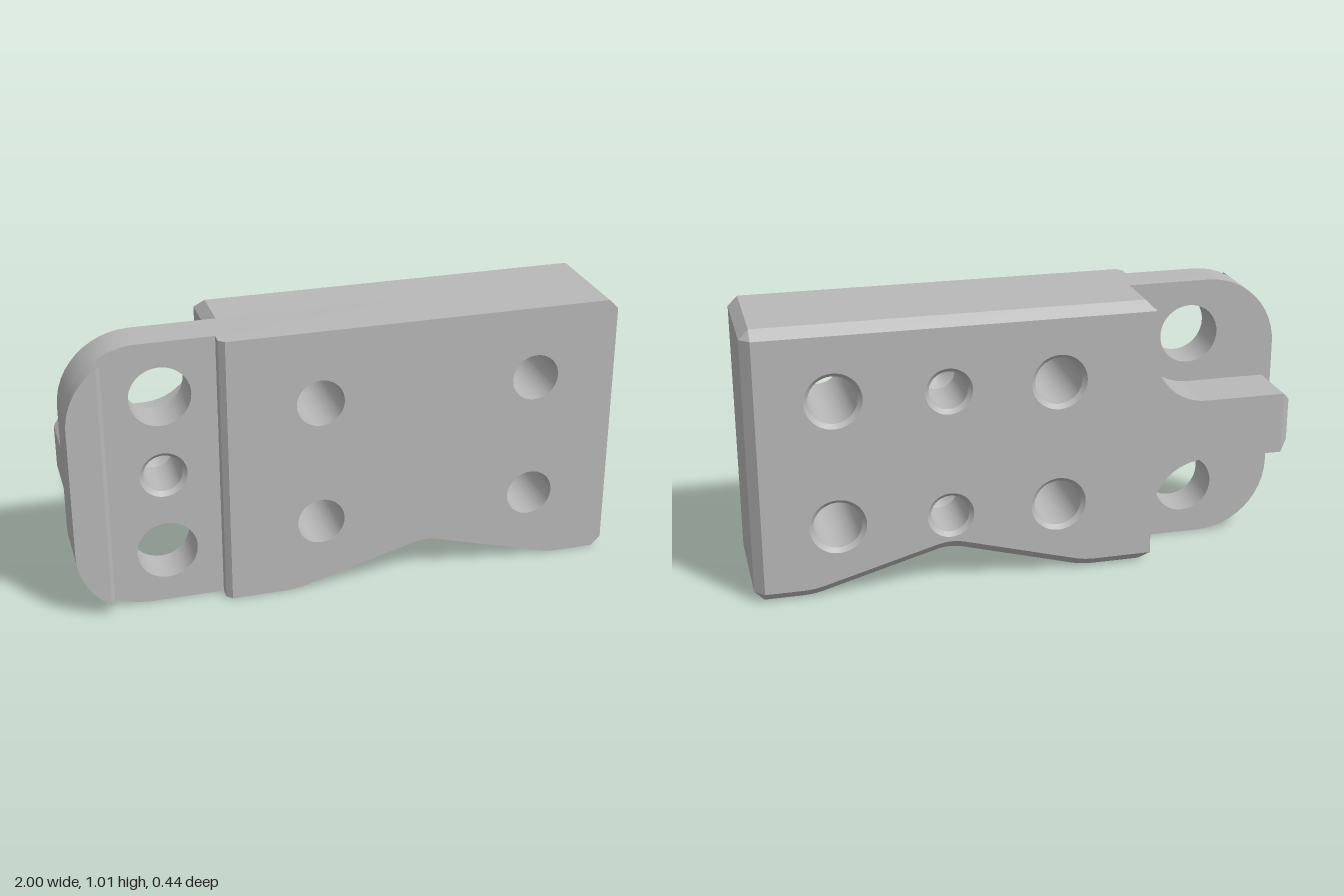
import * as THREE from 'three';
import { mergeGeometries, toCreasedNormals } from 'three/addons/utils/BufferGeometryUtils.js';

const H = 1.01, MID = H / 2, FRONT = 0.218, BACK = -0.218, BEVEL = 0.035;
const FLOOR = 0.155, STEP = -0.465, RIB = 0.115, FILLET = 0.2, CORNER = 0.265;
const V = (x, y) => new THREE.Vector2(x, y);

function arc(cx, cy, r, a0, a1, n = 12) {
  return Array.from({ length: n + 1 }, (_, i) => {
    const a = a0 + (a1 - a0) * i / n;
    return V(cx + r * Math.cos(a), cy + r * Math.sin(a));
  });
}
const circle = (x, y, r) => arc(x, y, r, 0, Math.PI * 2, 40).slice(0, -1);

// Walls through a stack of [contour, z]; rising z faces outward, falling z inward
function walls(...rings) {
  const pos = [];
  for (let k = 0; k + 1 < rings.length; k++) {
    const [a, za] = rings[k], [b, zb] = rings[k + 1];
    for (let i = 0; i < a.length; i++) {
      const j = (i + 1) % a.length;
      const A = [a[i].x, a[i].y, za], B = [a[j].x, a[j].y, za];
      const C = [b[j].x, b[j].y, zb], D = [b[i].x, b[i].y, zb];
      pos.push(...A, ...B, ...C, ...A, ...C, ...D);
    }
  }
  const g = new THREE.BufferGeometry();
  g.setAttribute('position', new THREE.Float32BufferAttribute(pos, 3));
  return g;
}

// Flat face with holes [x, y, r], facing +z or -z
function face(contour, z, holes = [], backward = false) {
  const shape = new THREE.Shape(contour);
  for (const h of holes) shape.holes.push(new THREE.Path(circle(...h)));
  const g = new THREE.ShapeGeometry(shape);
  if (backward) g.index.array.reverse();
  g.translate(0, 0, z);
  const flat = g.toNonIndexed();
  flat.deleteAttribute('uv');
  flat.deleteAttribute('normal');
  return flat;
}

// Hole lining from [radius, z] pairs, listed front to back
const bore = (x, y, profile) => walls(...profile.map(([r, z]) => [circle(x, y, r), z]));

export function createModel() {
  const group = new THREE.Group();
  const steel = new THREE.MeshStandardMaterial({ color: 0xb8b8b8 });
  steel.name = 'grey steel';
  const add = (name, ...parts) => {
    const mesh = new THREE.Mesh(toCreasedNormals(mergeGeometries(parts), 0.35), steel);
    mesh.name = name;
    group.add(mesh);
  };

  // Shallow roof-shaped relief in the lower edge
  const path = new THREE.Path();
  path.moveTo(-0.25, 0);
  path.quadraticCurveTo(-0.21, 0, -0.17, 0.011);
  path.lineTo(0.24, 0.125);
  path.quadraticCurveTo(0.29, 0.139, 0.34, 0.125);
  path.lineTo(0.75, 0.011);
  path.quadraticCurveTo(0.79, 0, 0.83, 0);
  const relief = path.getPoints(8);
  const rightEnd = [V(1 - BEVEL, 0), V(1, BEVEL), V(1, H - BEVEL), V(1 - BEVEL, H)];

  // Rounded left end, cut at x = c
  const leftCap = (c) => {
    const cx = CORNER - 1, a = Math.acos((c - cx) / CORNER);
    return [...arc(cx, H - CORNER, CORNER, a, Math.PI),
      ...arc(cx, CORNER, CORNER, Math.PI, Math.PI * 2 - a)];
  };
  const cap = leftCap(CORNER - 1);
  const blockFrom = (c) => [V(c, 0), ...relief, ...rightEnd, V(c, H)];

  // Hole positions
  const rows = [0.27, 0.74], columns = [-0.11, 0.695];
  const through = columns.flatMap((x) => rows.map((y) => [x, y]));
  const blind = rows.map((y) => [0.29, y]);
  const mounting = [[-0.665, 0.203, 0.11], [-0.665, H - 0.203, 0.11]];
  const drill = [-0.665, MID];

  // Mounting plate with groove floor
  const plate = [...cap, ...relief, ...rightEnd];
  const plateBack = [...cap, V(STEP + BEVEL, 0), V(STEP + BEVEL, H)];
  add('mountingPlate',
    walls([plate, 0], [plate, FLOOR]),
    face([...cap, V(STEP, 0), V(STEP, H)], FLOOR, [...mounting, [...drill, 0.085]]),
    face(plateBack, 0, [...mounting, [...drill, 0.07]], true));

  // Lip left of the groove
  const lip = leftCap(-0.87), lipTop = leftCap(-0.885);
  add('grooveLip',
    walls([lip, FLOOR], [lip, FRONT - 0.015], [lipTop, FRONT]),
    face(lipTop, FRONT));

  // Front half of the block
  const block = blockFrom(STEP), blockTop = blockFrom(STEP + 0.02);
  add('blockFront',
    walls([block, FLOOR], [block, FRONT - 0.02], [blockTop, FRONT]),
    face(blockTop, FRONT, through.map(([x, y]) => [x, y, 0.087])));

  // Back half: block with a filleted rib, bevelled around the rear face
  const ribTop = MID + RIB, ribLow = MID - RIB, fx = STEP - FILLET, tip = BEVEL - 1;
  const upper = arc(fx, ribTop + FILLET, FILLET, 0, -Math.PI / 2);
  const lower = arc(fx, ribLow - FILLET, FILLET, Math.PI / 2, 0);
  const rear = [V(STEP + BEVEL, 0), ...relief, ...rightEnd, V(STEP + BEVEL, H), V(STEP, H - BEVEL),
    ...upper, V(tip, ribTop), V(-1, ribTop - BEVEL), V(-1, ribLow + BEVEL), V(tip, ribLow),
    ...lower, V(STEP, BEVEL)];
  const hi = H - BEVEL, rx = 1 - BEVEL;
  const rearInset = [V(STEP, BEVEL), ...relief.map((p) => V(p.x, p.y + BEVEL)),
    V(rx, BEVEL), V(rx, BEVEL), V(rx, hi), V(rx, hi), V(STEP, hi), V(STEP, hi),
    ...upper, V(tip, ribTop), V(tip, ribTop), V(tip, ribLow), V(tip, ribLow),
    ...lower, V(STEP, BEVEL)];
  const rearFace = rearInset.filter((p, i) => !p.equals(rearInset[(i + 1) % rearInset.length]));
  add('blockBackAndRib',
    walls([rearInset, BACK], [rear, BACK + BEVEL], [rear, 0]),
    face(rearFace, BACK, [
      ...through.map(([x, y]) => [x, y, 0.102]),
      ...blind.map(([x, y]) => [x, y, 0.085])], true));

  // Hole linings
  add('throughHoles', ...through.map(([x, y]) =>
    bore(x, y, [[0.087, FRONT], [0.087, BACK + 0.015], [0.102, BACK]])));
  add('mountingHoles', ...mounting.map(([x, y, r]) => bore(x, y, [[r, FLOOR], [r, 0]])));
  add('blindHoles', ...blind.map(([x, y]) =>
    bore(x, y, [[0, 0.05], [0.07, 0.01], [0.07, BACK + 0.015], [0.085, BACK]])));
  add('centreDrillHole', bore(...drill,
    [[0.085, FLOOR], [0.07, FLOOR - 0.015], [0.07, -0.05], [0, -0.09]]));

  return group;
}
